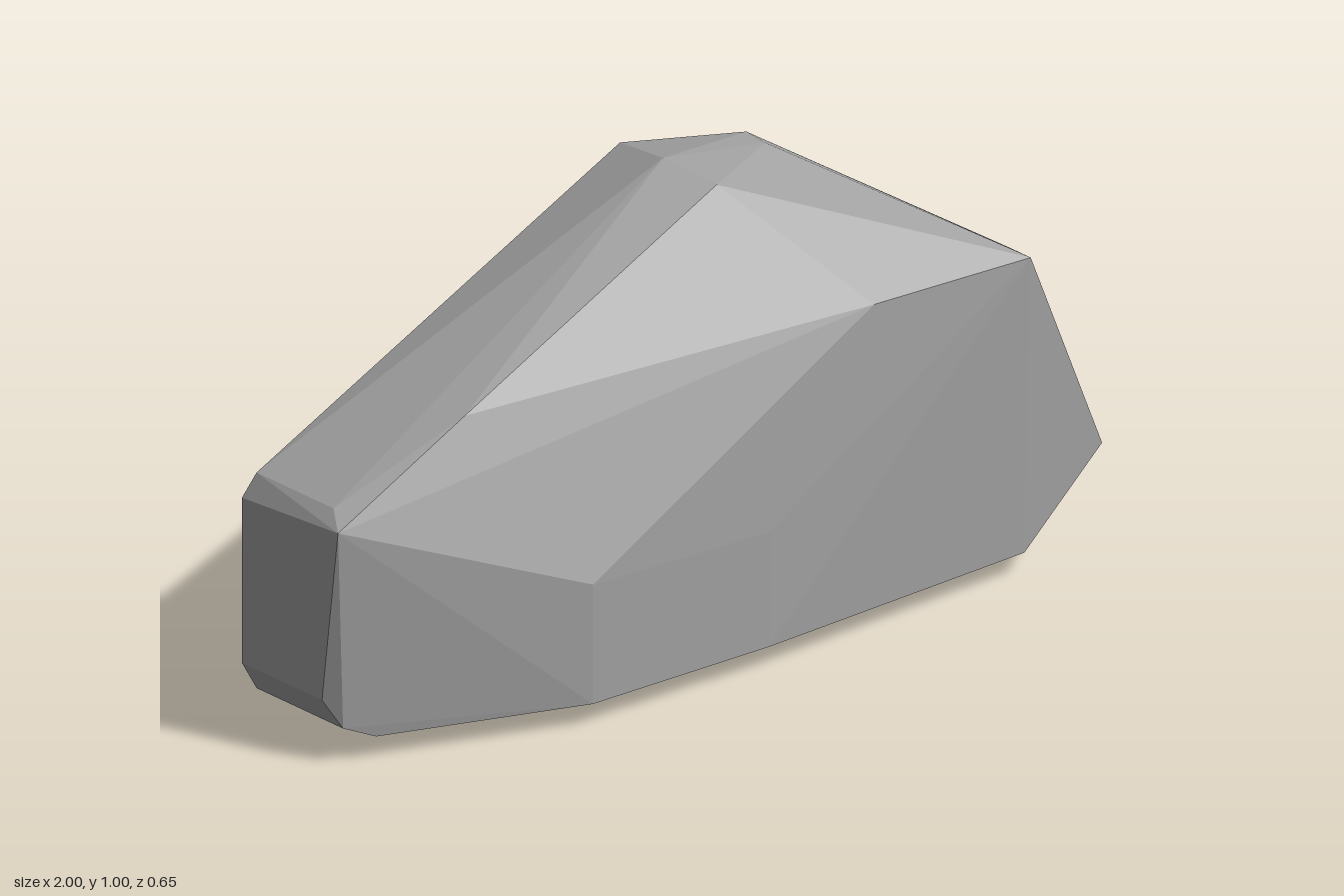
import * as THREE from 'three';
import { ConvexGeometry } from 'three/addons/geometries/ConvexGeometry.js';

export function createModel() {
  const group = new THREE.Group();
  group.name = 'rock';
  const stone = new THREE.MeshStandardMaterial({ color: 0xa0a0a0 });
  stone.name = 'grey stone';

  // Corners of the faceted boulder, grouped by region
  const corners = {
    crown: [[0.01, 1, -0.02], [0.05, 0.97, 0.1], [0.04, 0.97, -0.19], [0.27, 0.97, -0.07], [0.27, 0.965, -0.01]],
    front: [[0.29, 0.71, 0.305], [0.7, 0.7, 0.305], [0.7, 0.7, 0.23], [0.7, 0.05, 0.285],
      [-0.46, 0.31, 0.322], [0, 0.3, 0.325], [-0.46, 0.05, 0.322], [0, 0.05, 0.325], [-0.66, 0.68, 0.16]],
    tip: [[1, 0.17, 0.17]],
    back: [[0.26, 0.795, -0.215], [0.28, 0.7, -0.215], [0.27, 0.7, -0.27], [0.2, 0.7, -0.295], [0.08, 0.7, -0.295],
      [0.2, 0.64, -0.305], [0.08, 0.64, -0.305], [0.28, 0.305, -0.297], [0.2, 0.3, -0.325], [0.08, 0.3, -0.325]],
    base: [[0.28, 0.05, -0.125], [0.23, 0, -0.125], [0.02, 0, -0.125], [0.02, 0.003, 0.11], [0.23, 0.003, 0.1]],
    blunt: [[-1, 0.5, -0.13], [-1, 0.52, 0.17], [-0.97, 0.55, -0.12], [-0.97, 0.55, 0.12],
      [-1, 0.14, -0.13], [-1, 0.14, 0.12], [-0.97, 0.08, -0.12], [-0.97, 0.08, 0.15], [-0.9, 0.05, 0.17]],
  };
  const points = Object.values(corners).flat().map((p) => new THREE.Vector3(...p));

  // The hull keeps one flat normal per facet
  const boulder = new THREE.Mesh(new ConvexGeometry(points), stone);
  boulder.name = 'boulder';
  group.add(boulder);
  return group;
}
